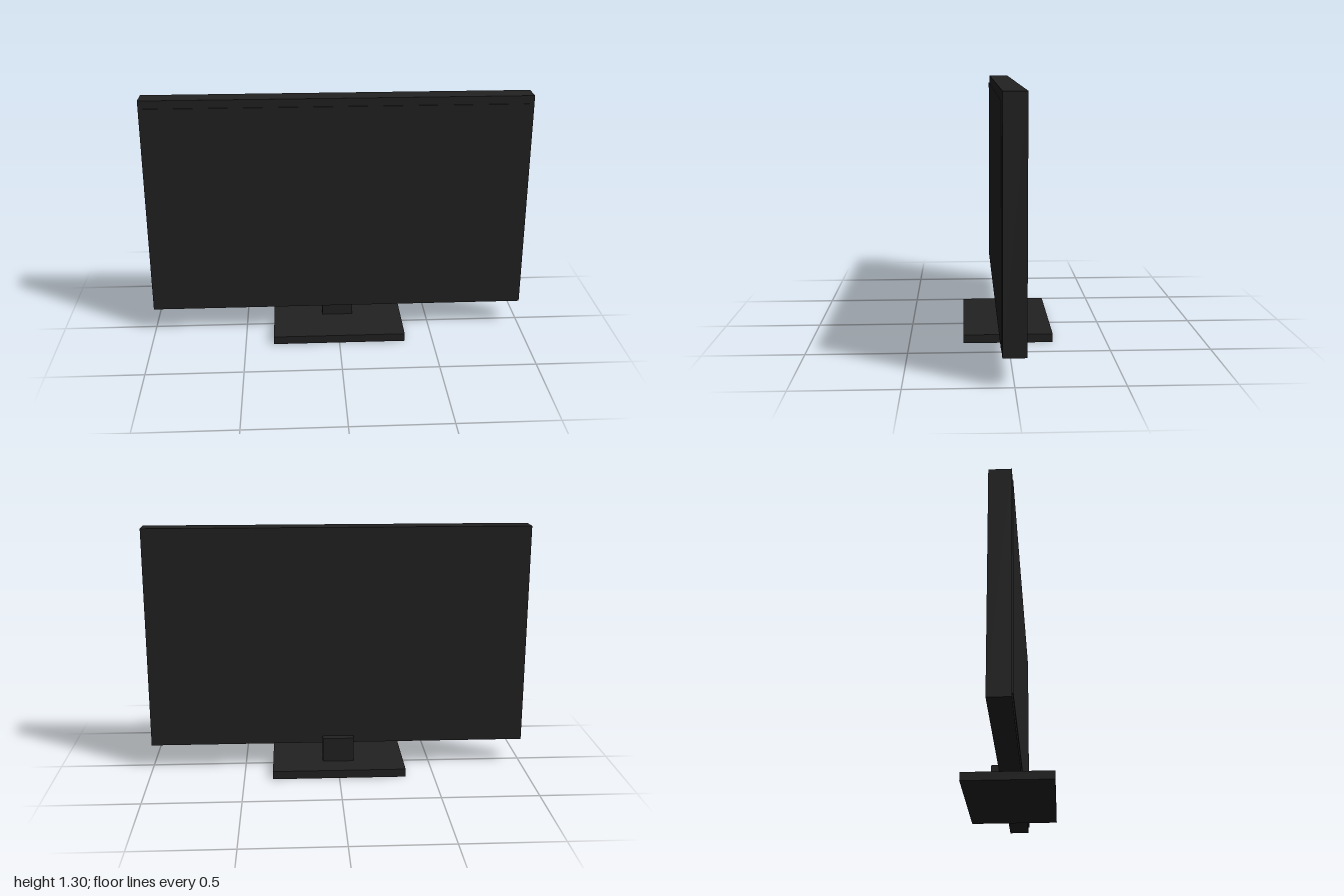
import * as THREE from 'three';

export function createModel() {
  const model = new THREE.Group();
  model.name = 'monitor';

  const casing = new THREE.MeshStandardMaterial({ color: 0x222222 });
  casing.name = 'charcoal plastic';

  // Box given by its lower and upper limits on each axis
  function addBox(name, [x0, x1], [y0, y1], [z0, z1]) {
    const mesh = new THREE.Mesh(new THREE.BoxGeometry(x1 - x0, y1 - y0, z1 - z0), casing);
    mesh.position.set((x0 + x1) / 2, (y0 + y1) / 2, (z0 + z1) / 2);
    mesh.name = name;
    model.add(mesh);
  }

  // Stand
  addBox('base', [-0.35, 0.35], [0, 0.043], [-0.227, 0.227]);
  addBox('neck', [-0.083, 0.083], [0.043, 0.173], [-0.098, -0.014]);

  // Display housing with the slightly raised screen
  addBox('housing', [-1, 1], [0.135, 1.302], [-0.055, 0.055]);
  addBox('screen', [-0.974, 0.974], [0.163, 1.26], [0.053, 0.06]);

  return model;
}
